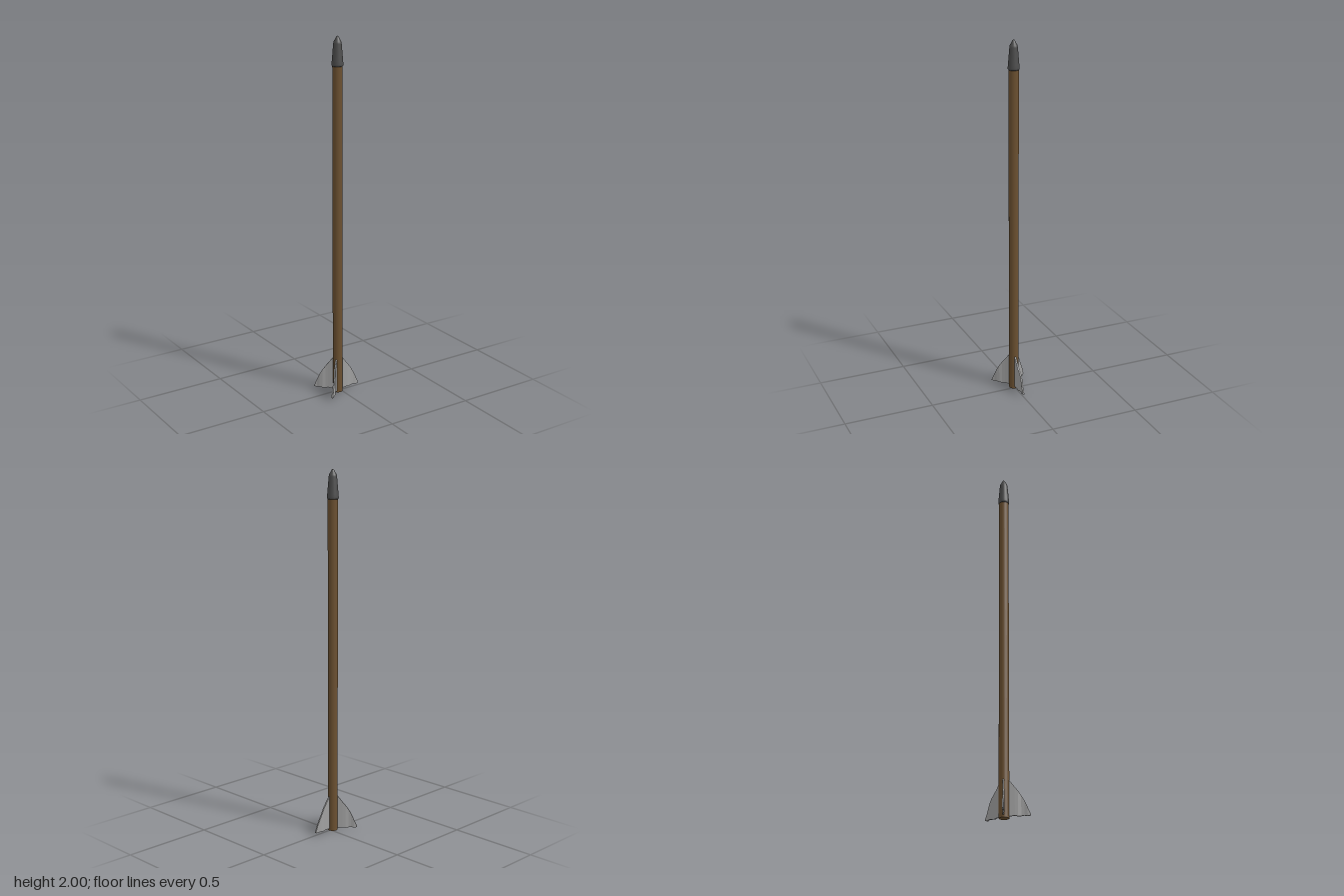
import * as THREE from 'three';

const AXIS_X = -0.018;

function material(color, options = {}) {
  return new THREE.MeshStandardMaterial({ color, ...options });
}

// Linear interpolation through a short list of values spaced evenly over 0..1.
function sample(values, t) {
  const f = t * (values.length - 1);
  const i = Math.min(Math.floor(f), values.length - 2);
  return THREE.MathUtils.lerp(values[i], values[i + 1], f - i);
}

// A thin, slightly rippled vane reaching out along +x.
function vaneGeometry() {
  const top = [0.205, 0.185, 0.163, 0.143, 0.12, 0.092, 0.056, 0.019];
  const bottom = [0.012, 0.011, 0.014, 0.01, 0.012, 0.015, 0.011, 0.015];
  const ripple = [0.002, 0.002, 0.002, 0.001, -0.003, -0.003, 0, -0.001];
  const geo = new THREE.BoxGeometry(1, 1, 1, 14, 4, 1);
  const pos = geo.attributes.position;
  for (let i = 0; i < pos.count; i++) {
    const t = pos.getX(i) + 0.5;
    const v = pos.getY(i) + 0.5;
    pos.setXYZ(
      i,
      THREE.MathUtils.lerp(0.022, 0.136, t),
      THREE.MathUtils.lerp(sample(bottom, t), sample(top, t), v),
      sample(ripple, t) + pos.getZ(i) * 0.008
    );
  }
  geo.computeVertexNormals();
  return geo;
}

export function createModel() {
  const model = new THREE.Group();
  model.name = 'arrow';

  // Shaft
  const shaft = new THREE.Mesh(new THREE.CylinderGeometry(0.027, 0.027, 1.85, 24), material(0x6b5030));
  shaft.name = 'shaft';
  shaft.position.set(AXIS_X, 0.925, 0);
  model.add(shaft);

  // Head: socket with a rounded rim, tapering to a blunt point
  const profile = [
    [0, 1.842], [0.027, 1.842], [0.0305, 1.846], [0.031, 1.854], [0.0295, 1.87],
    [0.022, 1.96], [0.02, 1.97], [0.009, 1.99], [0.004, 1.998], [0, 2],
  ].map(([r, y]) => new THREE.Vector2(r, y));
  const head = new THREE.Mesh(new THREE.LatheGeometry(profile, 24), material(0x4c4c4c));
  head.name = 'head';
  head.position.x = AXIS_X;
  model.add(head);

  // Fletching: one vane to the left, two swept to the right
  const geo = vaneGeometry();
  const vaneMaterial = material(0xa0a0a0, { flatShading: true });
  [0, 133.5, -136.5].forEach((angle, i) => {
    const vane = new THREE.Mesh(geo, vaneMaterial);
    vane.name = `vane${i + 1}`;
    vane.position.x = AXIS_X;
    vane.rotation.y = THREE.MathUtils.degToRad(angle);
    model.add(vane);
  });

  return model;
}
